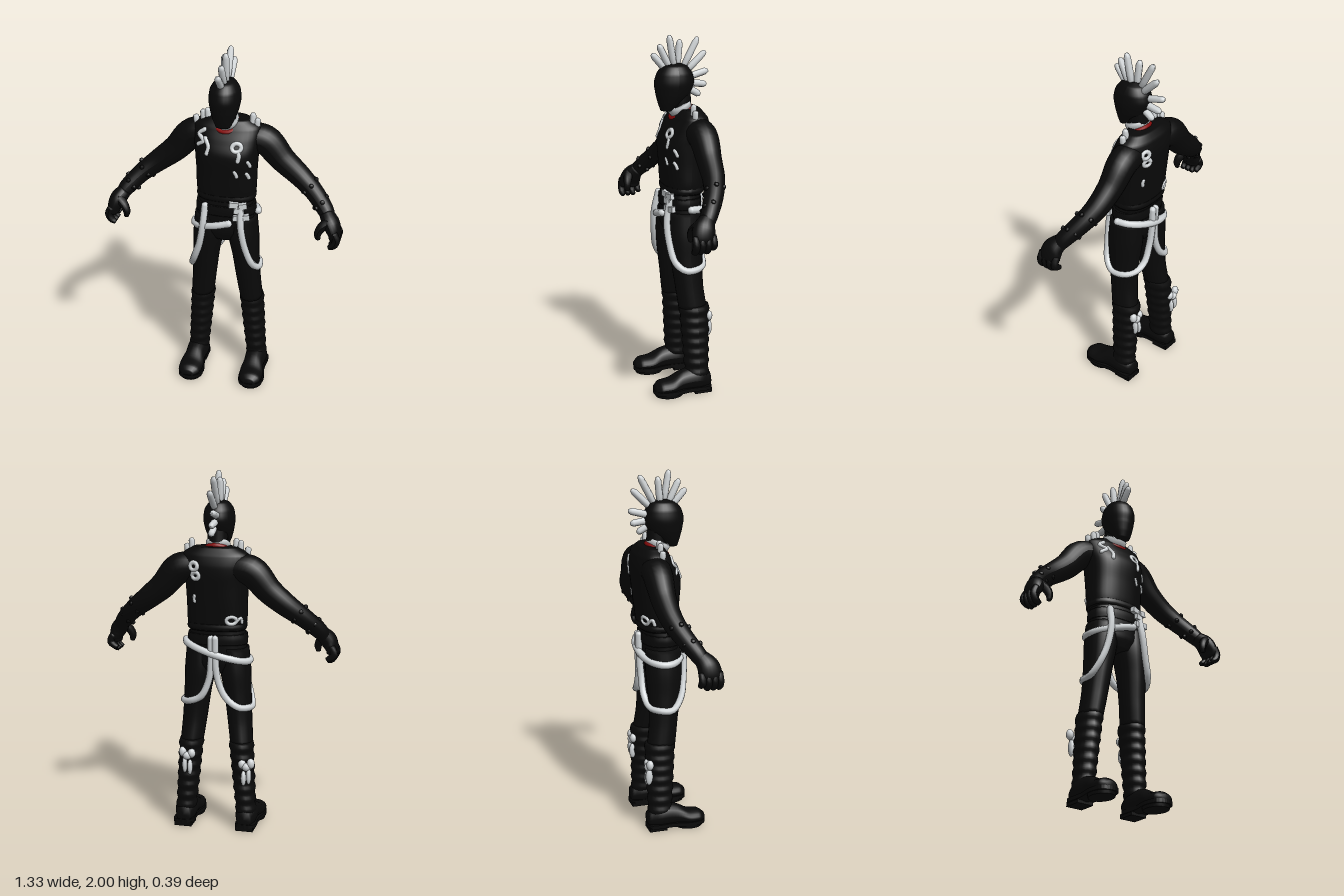
import * as THREE from 'three';

const V = (x, y, z) => new THREE.Vector3(x, y, z);
const mat = (name, color) => {
  const m = new THREE.MeshStandardMaterial({ color });
  m.name = name;
  return m;
};

// Skin through sections [x, y, z, radiusU, radiusV]; rings are superellipses.
// axis: fixed ring normal (sections must advance along it), or null to follow the path.
function loft(sections, { axis = null, ref = V(1, 0, 0), steps = 6, segs = 20, power = 2 } = {}) {
  const path = new THREE.CatmullRomCurve3(sections.map(s => V(s[0], s[1], s[2])));
  const size = new THREE.CatmullRomCurve3(sections.map(s => V(s[3], s[4], 0)));
  const rows = (sections.length - 1) * steps, pos = [], idx = [];
  for (let i = -1; i <= rows + 1; i++) {
    const t = THREE.MathUtils.clamp(i / rows, 0, 1), c = path.getPoint(t), r = size.getPoint(t);
    const dir = axis ? axis.clone() : path.getTangent(t);
    const u = ref.clone().addScaledVector(dir, -ref.dot(dir)).normalize();
    const v = dir.clone().cross(u), k = i < 0 || i > rows ? 0 : 1;
    for (let j = 0; j <= segs; j++) {
      const a = j / segs * Math.PI * 2, ca = Math.cos(a), sa = Math.sin(a);
      const p = c.clone()
        .addScaledVector(u, k * r.x * Math.sign(ca) * Math.abs(ca) ** (2 / power))
        .addScaledVector(v, k * r.y * Math.sign(sa) * Math.abs(sa) ** (2 / power));
      pos.push(p.x, p.y, p.z);
    }
  }
  const w = segs + 1;
  for (let i = 0; i < rows + 2; i++) for (let j = 0; j < segs; j++) {
    const a = i * w + j;
    idx.push(a, a + 1, a + w, a + 1, a + w + 1, a + w);
  }
  const g = new THREE.BufferGeometry();
  g.setAttribute('position', new THREE.Float32BufferAttribute(pos, 3));
  g.setIndex(idx);
  g.computeVertexNormals();
  return g;
}

// Torso cross-sections: [x, y, z, half width, half depth]
const TORSO = [
  [0, 1.14, -0.03, 0.158, 0.102], [0, 1.2, -0.03, 0.166, 0.11], [0, 1.3, -0.033, 0.168, 0.12],
  [0, 1.42, -0.037, 0.175, 0.13], [0, 1.5, -0.055, 0.185, 0.115], [0, 1.56, -0.065, 0.183, 0.09],
  [0, 1.6, -0.065, 0.12, 0.06]];

// Point on the jacket surface; s = 1 for the front, -1 for the back
function onJacket(x, y, s) {
  let i = 0;
  while (i < TORSO.length - 2 && TORSO[i + 1][1] < y) i++;
  const a = TORSO[i], b = TORSO[i + 1], t = (y - a[1]) / (b[1] - a[1]);
  const [, , z, rx, rz] = a.map((n, k) => n + (b[k] - n) * t);
  return V(x, y, z + s * rz * (1 - Math.min(0.98, Math.abs(x) / rx) ** 2.4) ** (1 / 2.4));
}

export function createModel() {
  const root = new THREE.Group();
  const black = mat('black cloth', 0x090909), white = mat('pale grey', 0xd2d6d8), red = mat('red', 0x8a0c0c);
  const add = (name, geo, m = black) => {
    const mesh = new THREE.Mesh(geo, m);
    mesh.name = name;
    root.add(mesh);
    return mesh;
  };
  // Round strap along a path, with rounded ends unless it is a loop
  const tube = (name, pts, r, closed = false) => {
    const curve = new THREE.CatmullRomCurve3(pts.map(p => V(...p)), closed);
    add(name, new THREE.TubeGeometry(curve, 48, r, 8, closed), white);
    if (!closed) for (const t of [0, 1]) add(name + 'End', new THREE.SphereGeometry(r, 8, 6), white).position.copy(curve.getPoint(t));
  };
  const up = V(0, 1, 0);
  const spike = (name, base, tip, r, m = white) => {
    const d = tip.clone().sub(base), h = d.length();
    const prof = [[0, 0], [r * 0.85, 0], [r, h * 0.35], [r * 0.95, h * 0.85], [r * 0.55, h * 0.97], [0, h]];
    const s = add(name, new THREE.LatheGeometry(prof.map(p => new THREE.Vector2(...p)), 8), m);
    s.position.copy(base);
    s.quaternion.setFromUnitVectors(up, d.normalize());
  };

  // Head and neck
  add('head', loft([
    [0, 1.59, 0.058, 0.04, 0.03], [0, 1.63, 0.04, 0.06, 0.062], [0, 1.68, 0.02, 0.077, 0.095],
    [0, 1.74, 0.012, 0.086, 0.111], [0, 1.79, 0.01, 0.08, 0.1], [0, 1.83, 0.008, 0.055, 0.068],
    [0, 1.845, 0.005, 0.02, 0.026]], { axis: up, segs: 28 }));
  add('neck', loft([[0, 1.52, -0.04, 0.058, 0.055], [0, 1.6, -0.03, 0.055, 0.055], [0, 1.7, -0.02, 0.055, 0.06]], { axis: up }));
  const collar = add('collar', new THREE.LatheGeometry(
    [[0.05, 0.01], [0.064, -0.014], [0.068, 0.022], [0.056, 0.032], [0.05, 0.01]].map(p => new THREE.Vector2(...p)), 28), white);
  collar.position.set(0, 1.594, -0.024);
  collar.rotation.x = 0.45;
  const band = add('neckBand', new THREE.TorusGeometry(0.063, 0.013, 8, 32).rotateX(Math.PI / 2), red);
  band.position.set(0, 1.576, -0.027);
  band.rotation.x = 0.5;

  // Hair spikes fanned over the skull: tip z, tip y
  [[0.135, 1.9], [0.1, 1.95], [0.045, 2.0], [-0.025, 1.97], [-0.125, 1.98], [-0.165, 1.905],
    [-0.19, 1.795], [-0.175, 1.72], [-0.135, 1.665]].forEach(([z, y], i) => {
    const x = (i % 3 - 1) * 0.012, tip = V(x, y, z);
    spike('hairSpike', V(x * 0.4, 1.745, 0.0).lerp(tip, 0.3), tip, 0.02);
  });

  // Jacket, hips and belt
  add('jacket', loft(TORSO, { axis: up, segs: 36, power: 2.4 }));
  add('jacketHem', loft([[0, 1.145, -0.03, 0.163, 0.107], [0, 1.16, -0.03, 0.167, 0.111], [0, 1.18, -0.03, 0.163, 0.108]], { axis: up, power: 2.4 }));
  add('hips', loft([[0, 0.9, -0.02, 0.08, 0.08], [0, 0.96, -0.02, 0.165, 0.1], [0, 1.05, -0.02, 0.165, 0.102], [0, 1.16, -0.025, 0.15, 0.098]], { axis: up, power: 2.3 }));
  add('belt', loft([[0, 1.06, -0.02, 0.168, 0.105], [0, 1.09, -0.02, 0.17, 0.107], [0, 1.12, -0.02, 0.166, 0.105]], { axis: up, power: 2.3 }));
  [[0.065, 1.14, 0.05], [0.115, 1.135, 0.045], [0.09, 1.105, 0.05], [0.125, 1.065, 0.055], [0.075, 1.06, 0.03]].forEach(([x, y, w], i) => {
    const b = add('beltPlate', new THREE.BoxGeometry(w, 0.032, 0.024), white);
    b.position.set(x, y, 0.09 - x * 0.12);
    b.rotation.set(0, 0.3, (i % 2 - 0.5) * 0.25);
  });

  // Hanging sash around the hips, from the front past the right side and back
  const sash = [];
  for (let i = 0; i <= 12; i++) {
    const a = 1.35 + i / 12 * 4.9;
    const x = Math.cos(a) * 0.18;
    sash.push([x, 1.015 + x * 0.28, -0.02 + Math.sin(a) * 0.12]);
  }
  tube('sash', sash, 0.021);

  // Painted jacket patches laid on the surface
  const patch = (pts, s, closed = false, r = 0.013) => tube('jacketPatch',
    pts.map(([x, y]) => { const p = onJacket(x, y, s); return [p.x, p.y, p.z - s * 0.003]; }), r, closed);
  const loop = (x, y, rx, ry) => Array.from({ length: 8 }, (_, i) =>
    [x + rx * Math.cos(i * Math.PI / 4), y + ry * Math.sin(i * Math.PI / 4)]);
  patch([[-0.11, 1.545], [-0.138, 1.52], [-0.11, 1.49], [-0.14, 1.465]], 1);
  patch([[-0.1, 1.505], [-0.078, 1.465], [-0.085, 1.43]], 1);
  patch(loop(0.075, 1.475, 0.024, 0.021), 1, true);
  patch([[0.085, 1.455], [0.09, 1.43], [0.085, 1.405]], 1);
  [[0.075, 1.325], [0.135, 1.31], [0.14, 1.38]].forEach(([x, y]) => patch([[x - 0.007, y + 0.014], [x, y], [x + 0.004, y - 0.014]], 1, false, 0.011));
  patch(loop(0.1, 1.5, 0.021, 0.02), -1, true);
  patch(loop(0.09, 1.45, 0.02, 0.018), -1, true);
  patch([[0.1, 1.335], [0.103, 1.32], [0.1, 1.305]], -1, false, 0.011);
  patch(loop(-0.1, 1.205, 0.026, 0.02), -1, true, 0.011);
  patch([[-0.125, 1.2], [-0.145, 1.215], [-0.15, 1.19]], -1, false, 0.01);

  for (const s of [1, -1]) {
    const side = s > 0 ? 'left' : 'right';
    const mir = rows => rows.map(([x, ...r]) => [x * s, ...r]);

    // Shoulder studs: x, z, tip height
    (s > 0 ? [[0.135, -0.05, 1.64], [0.16, -0.052, 1.61]] : [[0.105, -0.045, 1.645], [0.13, -0.045, 1.635], [0.17, -0.045, 1.6]])
      .forEach(([x, z, y]) => spike('shoulderStud', V(s * x, 1.55, z), V(s * (x + 0.006), y, z), 0.018));

    // Sleeve, with a studded wristband
    add(side + 'Arm', loft(mir([[0.1, 1.49, -0.07, 0.08, 0.075], [0.2, 1.475, -0.08, 0.08, 0.083], [0.3, 1.37, -0.078, 0.068, 0.072],
      [0.4, 1.288, -0.066, 0.06, 0.062], [0.48, 1.225, -0.035, 0.053, 0.053], [0.56, 1.145, 0.02, 0.046, 0.046],
      [0.59, 1.1, 0.05, 0.04, 0.036]]), { ref: V(0, 0, 1) }));
    [[0.46, 1.245, -0.045, 0.06], [0.53, 1.175, 0, 0.054]].forEach(([x, y, z, r], k) => {
      for (let i = 0; i < 6; i++) {
        const a = i / 6 * Math.PI * 2 + k, c = V(s * x, y, z);
        const d = V(s * 0.62 * Math.cos(a), 0.78 * Math.cos(a), Math.sin(a));
        spike('sleeveStud', c.clone().addScaledVector(d, 0.03), c.clone().addScaledVector(d, r + 0.006), 0.013, black);
      }
    });

    // Hand with curled fingers and thumb
    add(side + 'Palm', loft(mir([[0.57, 1.13, 0.035, 0.042, 0.04], [0.604, 1.085, 0.065, 0.06, 0.046],
      [0.622, 1.04, 0.073, 0.063, 0.036], [0.62, 1.01, 0.073, 0.05, 0.026]]), { ref: V(0, 0, 1) }));
    for (let i = 0; i < 4; i++) {
      const z = 0.024 + i * 0.032, e = i === 0 ? 0.015 : 0;
      add(side + 'Finger', loft(mir([[0.625, 1.06, z, 0.018, 0.02], [0.642, 1.015, z, 0.02, 0.022],
        [0.628, 0.982 + e, z, 0.019, 0.02], [0.602, 0.967 + e, z, 0.013, 0.013]]), { ref: V(0, 0, 1), steps: 4, segs: 10 }));
    }
    add(side + 'Thumb', loft(mir([[0.59, 1.105, 0.085, 0.03, 0.028], [0.555, 1.075, 0.105, 0.025, 0.025],
      [0.539, 1.04, 0.113, 0.021, 0.021], [0.542, 1.008, 0.113, 0.013, 0.013]]), { ref: V(0, 0, 1), steps: 4, segs: 10 }));

    // Trouser leg
    add(side + 'Leg', loft(mir([[0.143, 0.5, -0.045, 0.064, 0.08], [0.13, 0.62, -0.03, 0.068, 0.08], [0.115, 0.78, -0.02, 0.075, 0.092],
      [0.1, 0.92, -0.018, 0.086, 0.103], [0.095, 1.04, -0.02, 0.08, 0.098]]), { axis: up }));

    // Ruffled boot shaft
    const shaft = [];
    for (let i = 0; i <= 14; i++) {
      const t = i / 14, fold = i % 2 ? 0.004 : -0.003;
      shaft.push([0.175 - 0.032 * t, 0.09 + 0.42 * t, -0.062 + 0.008 * t, 0.055 + 0.012 * t + fold, 0.066 + 0.02 * t + fold]);
    }
    add(side + 'BootShaft', loft(mir(shaft), { axis: up, steps: 3 }));

    // Foot, sole and heel
    add(side + 'Foot', loft(mir([[0.175, 0.065, -0.135, 0.04, 0.045], [0.176, 0.08, -0.06, 0.062, 0.07], [0.177, 0.075, 0.03, 0.058, 0.06],
      [0.18, 0.056, 0.1, 0.069, 0.042], [0.182, 0.052, 0.16, 0.062, 0.038], [0.182, 0.045, 0.192, 0.032, 0.022]]),
    { axis: V(0, 0, 1), steps: 5 }));
    const outline = new THREE.Shape(new THREE.SplineCurve([[0, -0.14], [0.055, -0.12], [0.055, 0], [0.073, 0.1], [0.055, 0.175],
      [0, 0.197], [-0.055, 0.175], [-0.073, 0.1], [-0.055, 0], [-0.055, -0.12], [0, -0.14]].map(p => new THREE.Vector2(...p))).getPoints(40));
    const sole = add(side + 'Sole', new THREE.ExtrudeGeometry(outline, { depth: 0.022, bevelEnabled: false }).rotateX(Math.PI / 2));
    sole.position.set(s * 0.18, 0.04, 0);
    const heel = add(side + 'Heel', new THREE.BoxGeometry(0.1, 0.025, 0.1));
    heel.position.set(s * 0.178, 0.0125, -0.085);
    const tread = add(side + 'Tread', new THREE.CylinderGeometry(0.07, 0.066, 0.025, 24).scale(1, 1, 1.2));
    tread.position.set(s * 0.18, 0.0125, 0.106);

    // Brace strap looped around the thigh; the right one hangs lower
    const low = s > 0 ? 0.725 : 0.705;
    tube(side + 'Brace', mir([[0.1, 1.11, 0.07], [0.108, 1.0, 0.092], [0.132, 0.87, 0.085], [0.166, 0.77, 0.062], [0.19, low, 0.01],
      [0.184, low, -0.06], [0.135, low + 0.01, -0.108], [0.07, 0.77, -0.124], [0.028, 0.86, -0.125], [0.014, 0.95, -0.13], [0.012, 1.1, -0.135]]), 0.02);

    // Knotted tie behind the boot
    const y0 = s > 0 ? 0.4 : 0.36, x0 = s * (s > 0 ? 0.15 : 0.19);
    [[0, 0.022, 0.026, 0.024], [0.025, 0.042, 0.023, 0.03], [-0.025, 0.036, 0.023, 0.027], [0.014, -0.03, 0.015, 0.05], [-0.016, -0.045, 0.015, 0.045]]
      .forEach(([dx, dy, rx, ry]) => {
        const k = add('bootTie', new THREE.SphereGeometry(1, 10, 8).scale(rx, ry, 0.021), white);
        k.position.set(x0 + s * dx, y0 + dy, -0.136 + Math.abs(dx) * 0.2);
      });
  }
  return root;
}
